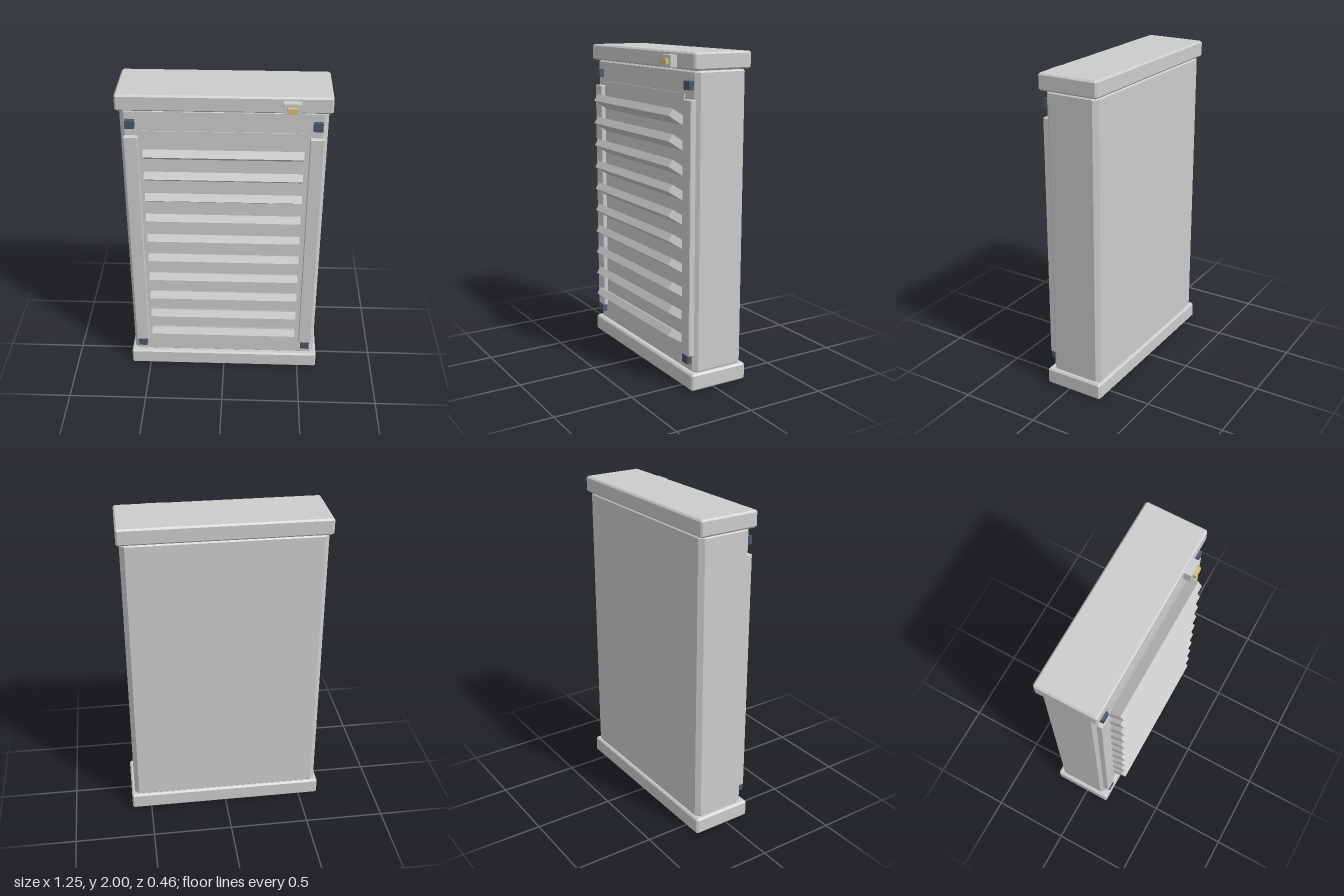
import * as THREE from 'three';

const material = (color) => new THREE.MeshStandardMaterial({ color });
const grey = material(0xcccccc);
const dark = material(0x4b5563);
const brass = material(0xd6bd7a);

// Box with chamfered upright corners (c) and bevelled top and bottom rims (b)
function chamferBox(w, h, d, c, b) {
  const x = w / 2, z = d / 2;
  const outline = [
    [x - c, -z], [x, c - z], [x, z - c], [x - c, z],
    [c - x, z], [-x, z - c], [-x, c - z], [c - x, -z],
  ].map(([px, py]) => new THREE.Vector2(px, py));
  const geo = new THREE.ExtrudeGeometry(new THREE.Shape(outline), {
    depth: h - 2 * b, bevelEnabled: true, bevelSegments: 1,
    bevelSize: b, bevelThickness: b, bevelOffset: -b,
  });
  return geo.rotateX(-Math.PI / 2).translate(0, b - h / 2, 0);
}

export function createModel() {
  const model = new THREE.Group();
  model.name = 'louveredCabinet';

  const add = (name, geometry, mat, x, y, z) => {
    const mesh = new THREE.Mesh(geometry, mat);
    mesh.name = name;
    mesh.position.set(x, y, z);
    model.add(mesh);
    return mesh;
  };

  // Cabinet body between base and cap
  add('body', chamferBox(1.21, 1.79, 0.345, 0.027, 0.008), grey, 0, 1.0, -0.0425);
  add('base', chamferBox(1.25, 0.106, 0.387, 0.01, 0.01), grey, 0, 0.053, -0.0355);
  add('cap', chamferBox(1.25, 0.1, 0.387, 0.01, 0.01), grey, 0, 1.95, -0.0355);

  // Thin panel behind the slats
  add('backPanel', new THREE.BoxGeometry(0.96, 1.56, 0.02), grey, 0, 0.985, 0.125);

  // Side rails with a dark block above and below each
  for (const side of [1, -1]) {
    const label = side > 0 ? 'left' : 'right';
    add(label + 'Rail', chamferBox(0.084, 1.526, 0.04, 0.004, 0.004), grey, side * 0.544, 0.972, 0.138);
    for (const [place, y] of [['Upper', 1.815], ['Lower', 0.185]]) {
      add(label + place + 'Block', new THREE.BoxGeometry(0.055, 0.05, 0.05), dark, side * 0.545, y, 0.137);
    }
  }

  // Tilted slats, pivoting on their lower front edge
  const t = 0.048, depth = 0.13;
  const slat = new THREE.BoxGeometry(0.936, t, depth).translate(0, t / 2, -depth / 2);
  for (let i = 0; i < 10; i++) {
    add('slat' + (i + 1), slat, grey, 0, 1.642 - i * 0.147, 0.23).rotation.x = -0.57;
  }

  // Latch on the cap
  add('latchPlate', new THREE.BoxGeometry(0.106, 0.07, 0.05), grey, 0.389, 1.945, 0.178);
  add('latchButton', new THREE.BoxGeometry(0.061, 0.034, 0.03), brass, 0.389, 1.943, 0.208);

  return model;
}
